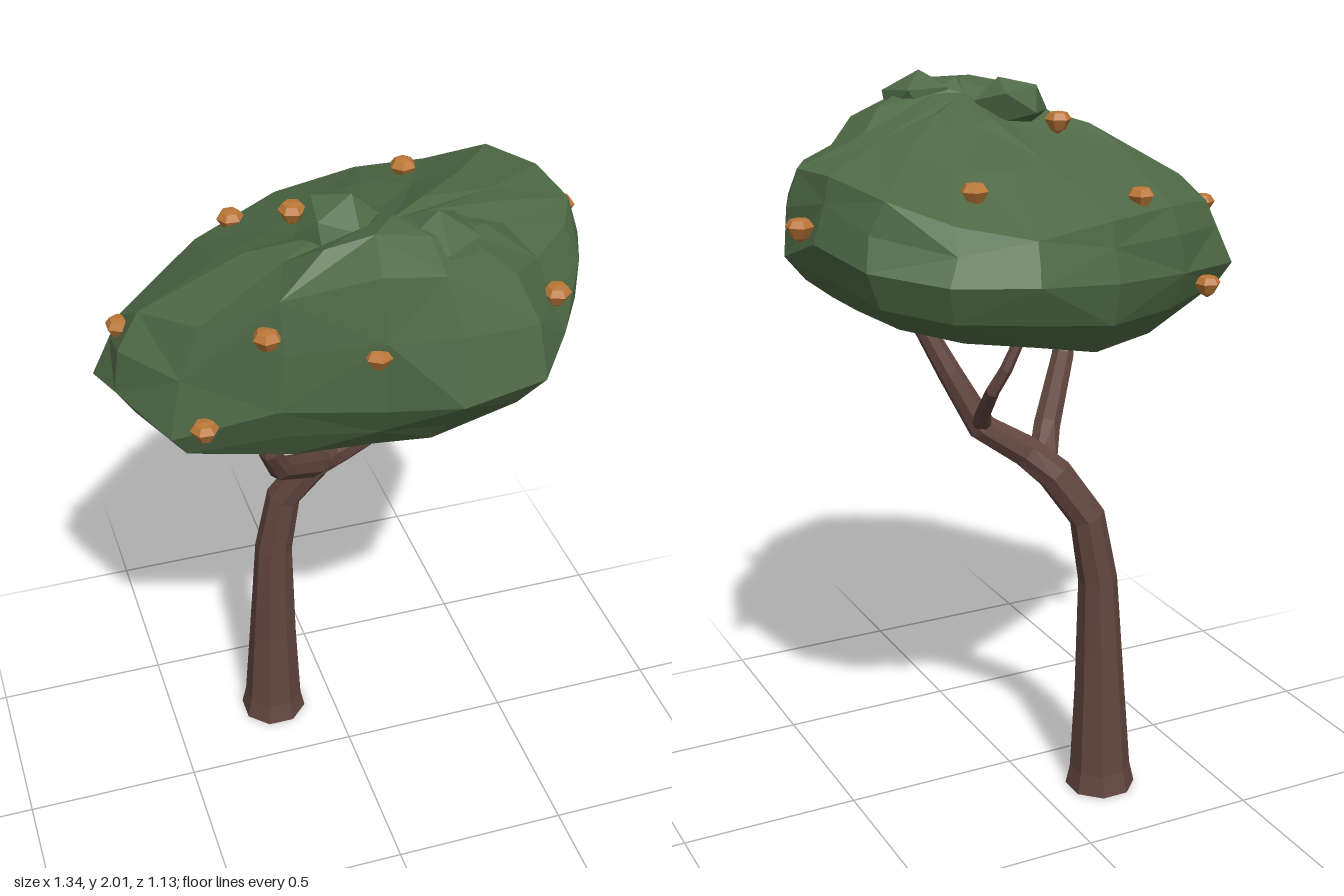
import * as THREE from 'three';

const mat = (name, color) => {
  const m = new THREE.MeshStandardMaterial({ color, flatShading: true });
  m.name = name;
  return m;
};

// small repeatable noise in -1..1
const noise = (i, j) => {
  const s = Math.sin(i * 127.1 + j * 311.7) * 43758.5453;
  return (s - Math.floor(s)) * 2 - 1;
};

// Skin closed rings of equal length (counter-clockwise seen from above, bottom to top), capped at both ends
function loft(rings, bottom, top) {
  const n = rings[0].length, pos = [], idx = [];
  rings.forEach(r => r.forEach(p => pos.push(p.x, p.y, p.z)));
  pos.push(bottom.x, bottom.y, bottom.z, top.x, top.y, top.z);
  const b = rings.length * n, t = b + 1, last = b - n;
  for (let i = 0; i < n; i++) {
    const k = (i + 1) % n;
    for (let j = 0; j < rings.length - 1; j++) {
      const a = j * n + i, c = j * n + k;
      if ((i + j) % 2) idx.push(a, c, a + n, c, c + n, a + n);
      else idx.push(a, c, c + n, a, c + n, a + n);
    }
    idx.push(b, k, i, t, last + i, last + k);
  }
  const g = new THREE.BufferGeometry();
  g.setAttribute('position', new THREE.Float32BufferAttribute(pos, 3));
  g.setIndex(idx);
  const flat = g.toNonIndexed();
  flat.computeVertexNormals();
  return flat;
}

// Tapering faceted limb through stations [x, y, z, radius]
function limb(stations, sides) {
  const pts = stations.map(s => new THREE.Vector3(s[0], s[1], s[2]));
  const rings = pts.map((p, i) => {
    const t = pts[Math.min(i + 1, pts.length - 1)].clone().sub(pts[Math.max(i - 1, 0)]).normalize();
    if (i === 0) t.set(0, 1, 0);
    const u = new THREE.Vector3().crossVectors(t, new THREE.Vector3(0, 0, 1)).normalize();
    const v = new THREE.Vector3().crossVectors(t, u);
    return Array.from({ length: sides }, (_, k) => {
      const a = ((k + 0.5) / sides) * Math.PI * 2, r = stations[i][3];
      return p.clone().addScaledVector(u, Math.cos(a) * r).addScaledVector(v, Math.sin(a) * r);
    });
  });
  return loft(rings, pts[0], pts[pts.length - 1]);
}

// Crown outline, counter-clockwise from above: x, z, rim height, shoulder height, underside height
const SPOKES = [
  [0.61, -0.14, 1.67, 1.84, 1.48], [0.56, -0.36, 1.64, 1.81, 1.47],
  [0.41, -0.51, 1.62, 1.74, 1.45], [0.20, -0.57, 1.61, 1.71, 1.43],
  [-0.07, -0.48, 1.57, 1.72, 1.37], [-0.38, -0.29, 1.52, 1.70, 1.35],
  [-0.67, -0.07, 1.47, 1.66, 1.38], [-0.64, 0.07, 1.50, 1.71, 1.37],
  [-0.54, 0.25, 1.45, 1.74, 1.35], [-0.30, 0.38, 1.57, 1.87, 1.38],
  [-0.05, 0.47, 1.58, 1.93, 1.40], [0.11, 0.565, 1.62, 1.93, 1.44],
  [0.34, 0.51, 1.62, 1.88, 1.45], [0.45, 0.36, 1.64, 1.82, 1.45],
  [0.56, 0.17, 1.61, 1.82, 1.47], [0.62, 0.05, 1.60, 1.83, 1.48],
];

function crownGeometry() {
  const V = (x, y, z) => new THREE.Vector3(x, y, z);
  const base = V(-0.04, 1.38, 0.0), peak = V(0.03, 1.955, 0.22);
  const shrink = (s, k, y) => V(s[0] * k, y, s[1] * k);
  const wobble = (p, i, j, d) => p.add(V(noise(i, j) * d, noise(i, j + 20) * d * 0.5, noise(i, j + 40) * d));
  // steep walls on the left side and the front right, gentler slopes elsewhere
  const steep = s => s[0] > 0.5 || (s[0] < 0 && s[1] > 0.3);
  const under = SPOKES.map(s => shrink(s, s[1] > 0.4 ? 0.74 : 0.8, s[4]));
  const low = SPOKES.map((s, i) =>
    wobble(shrink(s, s[1] > 0.4 ? 0.86 : 0.93, (s[2] + s[4]) / 2 - 0.01), i, 2, 0.012));
  const rim = SPOKES.map(s => V(s[0], s[2], s[1]));
  const high = SPOKES.map((s, i) =>
    wobble(shrink(s, steep(s) ? 0.97 : 0.95, s[2] * 0.45 + s[3] * 0.55), i, 4, 0.018));
  const shoulder = SPOKES.map((s, i) => wobble(shrink(s, steep(s) ? 0.92 : 0.86, s[3]), i, 5, 0.02));
  // the top bulges towards the front and the left-hand slope
  const toPeak = (k, lift, j) => shoulder.map((p, i) => {
    const q = p.clone().lerp(peak, k);
    q.y += p.z > -0.1 && p.x < 0.42 ? lift : 0.005;
    return wobble(q, i, j, 0.024);
  });
  const inner = under.map((p, i) => wobble(p.clone().lerp(base, 0.5), i, 9, 0.02));
  return loft([inner, under, low, rim, high, shoulder, toPeak(0.4, 0.05, 6), toPeak(0.75, 0.03, 7)], base, peak);
}

export function createModel() {
  const bark = mat('brown bark', 0x62463f);
  const leaf = mat('dark green leaves', 0x4f6a46);
  const fruitSkin = mat('copper orange fruit', 0xbc7838);
  const tree = new THREE.Group();
  tree.name = 'tree';
  const add = (name, geo, material) => {
    const m = new THREE.Mesh(geo, material);
    m.name = name;
    tree.add(m);
    return m;
  };

  // Trunk and branches
  add('trunk', limb([
    [-0.185, 0, -0.22, 0.1], [-0.184, 0.06, -0.22, 0.087], [-0.178, 0.32, -0.22, 0.071],
    [-0.168, 0.65, -0.217, 0.055], [-0.135, 0.84, -0.21, 0.05], [-0.05, 0.97, -0.175, 0.05],
    [0.02, 1.035, -0.14, 0.046], [0.14, 1.115, -0.115, 0.04],
    [0.22, 1.27, -0.085, 0.033], [0.32, 1.48, -0.035, 0.024],
  ], 8), bark);
  add('frontBranch', limb([
    [-0.02, 0.98, -0.16, 0.042], [-0.09, 1.06, -0.05, 0.038], [-0.23, 1.2, 0.12, 0.032],
    [-0.27, 1.3, 0.17, 0.029], [-0.28, 1.42, 0.17, 0.024],
  ], 7), bark);
  add('backBranch', limb([
    [0.14, 1.11, -0.11, 0.028], [0.18, 1.18, -0.2, 0.022], [0.215, 1.29, -0.335, 0.018],
    [0.19, 1.35, -0.36, 0.016], [0.15, 1.44, -0.37, 0.014],
  ], 6), bark);

  // Leafy crown with angular knobs on top
  add('crown', crownGeometry(), leaf);
  [[-0.08, 1.925, 0.15, 0.1], [0.12, 1.92, 0.33, 0.11]].forEach(([x, y, z, r], i) => {
    const knob = add('crownKnob', new THREE.IcosahedronGeometry(r, 0), leaf);
    knob.position.set(x, y, z);
    knob.scale.set(1.1, 0.75, 1);
    knob.rotation.set(0.3, 0.5 + i, 0.2);
  });

  // Fruit: faceted, flat on top and pointed below
  const fruitGeo = new THREE.LatheGeometry([
    [0, -0.034], [0.02, -0.022], [0.037, 0.007], [0.025, 0.024], [0, 0.028],
  ].map(p => new THREE.Vector2(...p)), 6);
  [
    [-0.60, 1.635, -0.01], [-0.50, 1.455, -0.21], [-0.24, 1.735, -0.28], [0.25, 1.795, -0.31],
    [0.64, 1.71, -0.13], [-0.15, 1.895, 0.01], [-0.465, 1.50, 0.305], [-0.315, 1.77, 0.36],
    [-0.07, 1.73, 0.455], [0.42, 1.755, 0.355],
  ].forEach((p, i) => {
    const fruit = add('fruit', fruitGeo, fruitSkin);
    fruit.position.set(...p);
    fruit.rotation.y = i * 1.3;
  });
  return tree;
}
